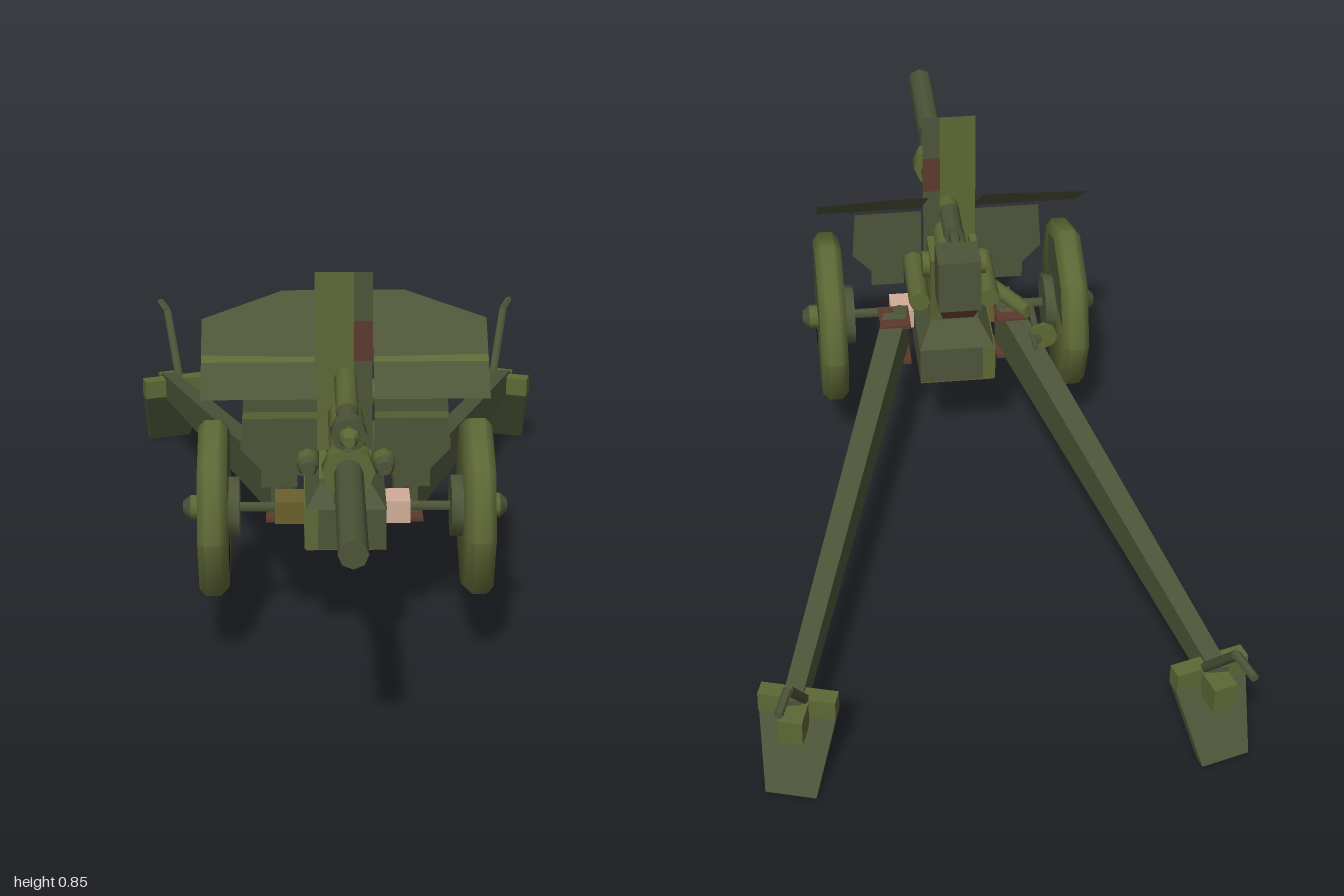
import * as THREE from 'three';
import { toCreasedNormals } from 'three/addons/utils/BufferGeometryUtils.js';

const paint = (name, color) => {
  const m = new THREE.MeshStandardMaterial({ color, side: THREE.DoubleSide });
  m.name = name;
  return m;
};

export function createModel() {
  const olive = paint('olive', 0x5d6735);
  const dark = paint('dark olive', 0x4d5438);
  const mustard = paint('mustard', 0x6a5f2c);
  const pink = paint('pale pink', 0xd0ae98);
  const red = paint('red brown', 0x5c392d);
  const black = paint('black', 0x0c0d0b);

  const model = new THREE.Group();
  const V = (x, y, z) => new THREE.Vector3(x, y, z);

  const add = (parent, name, geometry, material) => {
    const mesh = new THREE.Mesh(geometry, material);
    mesh.name = name;
    parent.add(mesh);
    return mesh;
  };
  const box = (parent, name, x, y, z, w, h, d, material) => {
    const mesh = add(parent, name, new THREE.BoxGeometry(w, h, d), material);
    mesh.position.set(x, y, z);
    return mesh;
  };
  // Round bar between two points
  const rod = (parent, name, a, b, r, material, r2 = r, sides = 8) => {
    const g = toCreasedNormals(new THREE.CylinderGeometry(r2, r, a.distanceTo(b), sides), 1.1);
    const mesh = add(parent, name, g, material);
    mesh.position.copy(a).lerp(b, 0.5);
    mesh.quaternion.setFromUnitVectors(V(0, 1, 0), b.clone().sub(a).normalize());
    return mesh;
  };
  // Bar along z on the gun's centre line
  const bar = (name, y, z0, z1, r, material, x = 0, r2 = r) =>
    rod(model, name, V(x, y, z0), V(x, y, z1), r, material, r2);

  // Four-sided sections and the solid between two of them
  const corners = [[-1, -1], [1, -1], [1, 1], [-1, 1]];
  const rectXY = (x, y, z, w, h) => corners.map(([i, j]) => [x + i * w / 2, y + j * h / 2, z]);
  const rectXZ = (x, y, z, w, d) => corners.map(([i, j]) => [x + i * w / 2, y, z - j * d / 2]);
  const loft = (parent, name, a, b, material) => {
    const index = [0, 1, 2, 0, 2, 3, 4, 6, 5, 4, 7, 6];
    for (let i = 0; i < 4; i++) {
      const j = (i + 1) % 4;
      index.push(i, i + 4, j, j, i + 4, j + 4);
    }
    const g = new THREE.BufferGeometry();
    g.setAttribute('position', new THREE.Float32BufferAttribute([...a, ...b].flat(), 3));
    g.setIndex(index);
    const flat = g.toNonIndexed();
    flat.computeVertexNormals();
    return add(parent, name, flat, material);
  };
  // Thin sheet, its depth set by a rule of height
  const sheet = (parent, name, points, depth, material) => {
    const g = new THREE.ShapeGeometry(new THREE.Shape(points.map(p => new THREE.Vector2(...p))));
    const p = g.attributes.position;
    for (let i = 0; i < p.count; i++) p.setZ(i, depth(p.getY(i)));
    g.computeVertexNormals();
    return add(parent, name, g, material);
  };

  // Barrel, sleeve and recoil cylinders
  bar('barrel', 0.535, 0.15, 1, 0.029, dark);
  bar('barrelSleeve', 0.535, 0.12, 0.57, 0.037, olive);
  bar('upperCylinder', 0.613, 0.17, 0.63, 0.023, dark);
  bar('upperCylinderBand', 0.613, 0.27, 0.5, 0.0235, olive);
  bar('upperCylinderCap', 0.613, 0.63, 0.655, 0.022, olive, 0, 0.012);
  bar('upperCylinderRod', 0.613, 0.1, 0.17, 0.012, dark);
  bar('lowerCylinderRear', 0.462, 0.15, 0.43, 0.022, olive);
  bar('lowerCylinderMiddle', 0.462, 0.43, 0.505, 0.023, pink);
  bar('lowerCylinderFront', 0.462, 0.505, 0.71, 0.023, mustard);
  bar('lowerCylinderCap', 0.462, 0.71, 0.727, 0.017, olive, 0, 0.012);
  bar('barrelCollar', 0.535, 0.58, 0.62, 0.053, olive);
  bar('upperCollar', 0.613, 0.58, 0.62, 0.036, dark);
  box(model, 'collarBridge', 0, 0.485, 0.6, 0.06, 0.035, 0.04, dark);

  // Breech
  box(model, 'breechBlock', 0, 0.56, 0.085, 0.096, 0.13, 0.085, dark);
  loft(model, 'breechLower', rectXZ(0, 0.505, 0.095, 0.094, 0.105), rectXZ(0, 0.45, 0.11, 0.07, 0.06), red);

  // Cradle cheeks, trunnions and balancing cylinders
  for (const s of [-1, 1]) {
    loft(model, 'cradleCheek', rectXZ(s * 0.048, 0.575, 0.18, 0.016, 0.1),
      rectXZ(s * 0.048, 0.385, 0.24, 0.016, 0.14), olive);
    rod(model, 'trunnion', V(s * 0.04, 0.535, 0.18), V(s * 0.072, 0.535, 0.18), 0.03, olive);
    bar('balancer', 0.442, 0.16, 0.365, 0.024, olive, s * 0.08);
    bar('balancerCap', 0.442, 0.365, 0.385, 0.024, dark, s * 0.08, 0.016);
  }

  // Saddle
  loft(model, 'saddleBody', rectXY(0.013, 0.302, 0.38, 0.144, 0.09), rectXY(0.013, 0.302, 0.1, 0.144, 0.09), dark);
  box(model, 'saddleSide', -0.073, 0.302, 0.24, 0.03, 0.09, 0.28, olive);
  box(model, 'saddleUnderside', 0, 0.256, 0.24, 0.17, 0.006, 0.276, mustard);
  loft(model, 'saddleTop', rectXZ(0, 0.388, 0.25, 0.11, 0.18), rectXZ(0, 0.346, 0.24, 0.172, 0.28), dark);
  box(model, 'pivot', 0, 0.415, 0.23, 0.06, 0.07, 0.1, dark);
  box(model, 'axleBlockLeft', 0.11, 0.32, 0.3, 0.055, 0.05, 0.07, pink);
  box(model, 'axleBlockRight', -0.117, 0.32, 0.3, 0.065, 0.05, 0.07, mustard);

  // Aiming gear with handwheel
  rod(model, 'aimingShaft', V(-0.09, 0.4, 0.28), V(-0.17, 0.405, 0.15), 0.018, olive);
  rod(model, 'handwheelStem', V(-0.175, 0.415, 0.16), V(-0.175, 0.415, 0.02), 0.008, dark);
  rod(model, 'handwheel', V(-0.188, 0.415, 0.035), V(-0.188, 0.415, 0.045), 0.033, olive);
  rod(model, 'handwheelGrip', V(-0.165, 0.42, 0.035), V(-0.165, 0.42, -0.012), 0.006, dark);

  // Shield: tall centre plate
  const centre = (x0, x1, y0, y1) => [[x0, y0], [x1, y0], [x1, y1], [x0, y1]];
  sheet(model, 'centrePlateLight', centre(-0.063, 0.018, 0.45, 0.845), () => 0.3, olive);
  sheet(model, 'centrePlateDarkLower', centre(0.018, 0.057, 0.45, 0.65), () => 0.3, dark);
  sheet(model, 'centrePlateRed', centre(0.018, 0.057, 0.65, 0.738), () => 0.3, red);
  sheet(model, 'centrePlateDarkUpper', centre(0.018, 0.057, 0.738, 0.845), () => 0.3, dark);

  // Shield: sloping wings and upright lower plates
  const slope = y => 0.34 - (y - 0.58) * 1.28;
  for (const s of [-1, 1]) {
    const side = pts => pts.map(([x, y]) => [s * x, y]);
    sheet(model, 'shieldWing',
      side([[0.06, 0.58], [0.302, 0.58], [0.302, 0.703], [0.13, 0.747], [0.06, 0.747]]), slope, dark);
    sheet(model, 'wingStripe',
      side([[0.06, 0.637], [0.302, 0.637], [0.302, 0.648], [0.06, 0.645]]), y => slope(y) + 0.003, olive);
    sheet(model, 'lowerShield',
      side([[0.06, 0.578], [0.213, 0.578], [0.221, 0.465], [0.178, 0.418], [0.178, 0.378],
        [0.102, 0.378], [0.102, 0.445], [0.06, 0.445]]), () => 0.33, dark);
    sheet(model, 'lowerShieldStripe',
      side([[0.06, 0.535], [0.215, 0.535], [0.214, 0.55], [0.06, 0.55]]), () => 0.333, olive);
  }

  // Wheels with bevelled eight-sided rims
  const rim = [[0, -0.03], [0.184, -0.03], [0.2, -0.015], [0.2, 0.015], [0.184, 0.03], [0, 0.03]]
    .map(p => new THREE.Vector2(...p));
  const wheelGeometry = toCreasedNormals(new THREE.LatheGeometry(rim, 8).rotateZ(-Math.PI / 2), 0.8);
  for (const s of [-1, 1]) {
    const wheel = new THREE.Group();
    wheel.name = s > 0 ? 'leftWheel' : 'rightWheel';
    wheel.position.set(s * 0.279, 0.32, 0.3);
    model.add(wheel);
    add(wheel, 'tyre', wheelGeometry, olive);
    rod(wheel, 'innerHub', V(-s * 0.03, 0, 0), V(-s * 0.055, 0, 0), 0.07, dark);
    rod(wheel, 'hubCap', V(s * 0.03, 0, 0), V(s * 0.05, 0, 0), 0.028, olive);
    rod(wheel, 'hubTip', V(s * 0.05, 0, 0), V(s * 0.066, 0, 0), 0.028, dark, 0.015);
    rod(wheel, 'axle', V(-s * 0.18, 0, 0), V(-s * 0.04, 0, 0), 0.011, dark);
    sheet(wheel, 'darkPatch', [[-0.08, 0.05], [0.165, 0.04], [0.125, 0.125], [0, 0.178], [-0.085, 0.14]],
      () => 0.0315, dark).rotation.y = Math.PI / 2;
    sheet(wheel, 'blackPatch', [[-0.11, -0.09], [-0.09, -0.107], [-0.03, -0.107], [-0.008, -0.09],
      [-0.008, -0.062], [-0.09, -0.062], [-0.11, -0.075]], () => 0.032, black).rotation.y = Math.PI / 2;
  }

  // Split trails with spades and lifting handles
  for (const s of [1, -1]) {
    const trail = new THREE.Group();
    trail.name = s > 0 ? 'leftTrail' : 'rightTrail';
    trail.scale.x = s;
    model.add(trail);
    loft(trail, 'trailBeam', rectXY(0.132, 0.321, 0.22, 0.055, 0.106), rectXY(0.434, 0.168, -0.83, 0.04, 0.06), dark);
    for (const y of [0.264, 0.366]) box(trail, 'hingePlate', 0.135, y, 0.21, 0.07, 0.009, 0.08, red);
    rod(trail, 'hingePin', V(0.12, 0.255, 0.23), V(0.12, 0.375, 0.23), 0.018, dark);

    const spade = new THREE.Group();
    spade.name = 'spade';
    spade.position.set(0.415, 0, -0.79);
    spade.rotation.y = -0.285;
    trail.add(spade);
    box(spade, 'spadeHead', 0, 0.172, -0.015, 0.16, 0.046, 0.035, olive);
    loft(spade, 'spadeBlade', rectXZ(0, 0.15, -0.012, 0.16, 0.03), rectXZ(0, 0, -0.1, 0.106, 0.025), dark);
    box(spade, 'spadeBlock', 0, 0.155, -0.055, 0.05, 0.06, 0.07, olive);

    const bend = [V(0.405, 0.18, -0.81), V(0.44, 0.332, -0.932), V(0.461, 0.334, -1)];
    rod(trail, 'handleStem', bend[0], bend[1], 0.011, dark, 0.011, 6);
    rod(trail, 'handleGrip', bend[1], bend[2], 0.01, dark, 0.009, 6);
  }
  return model;
}
